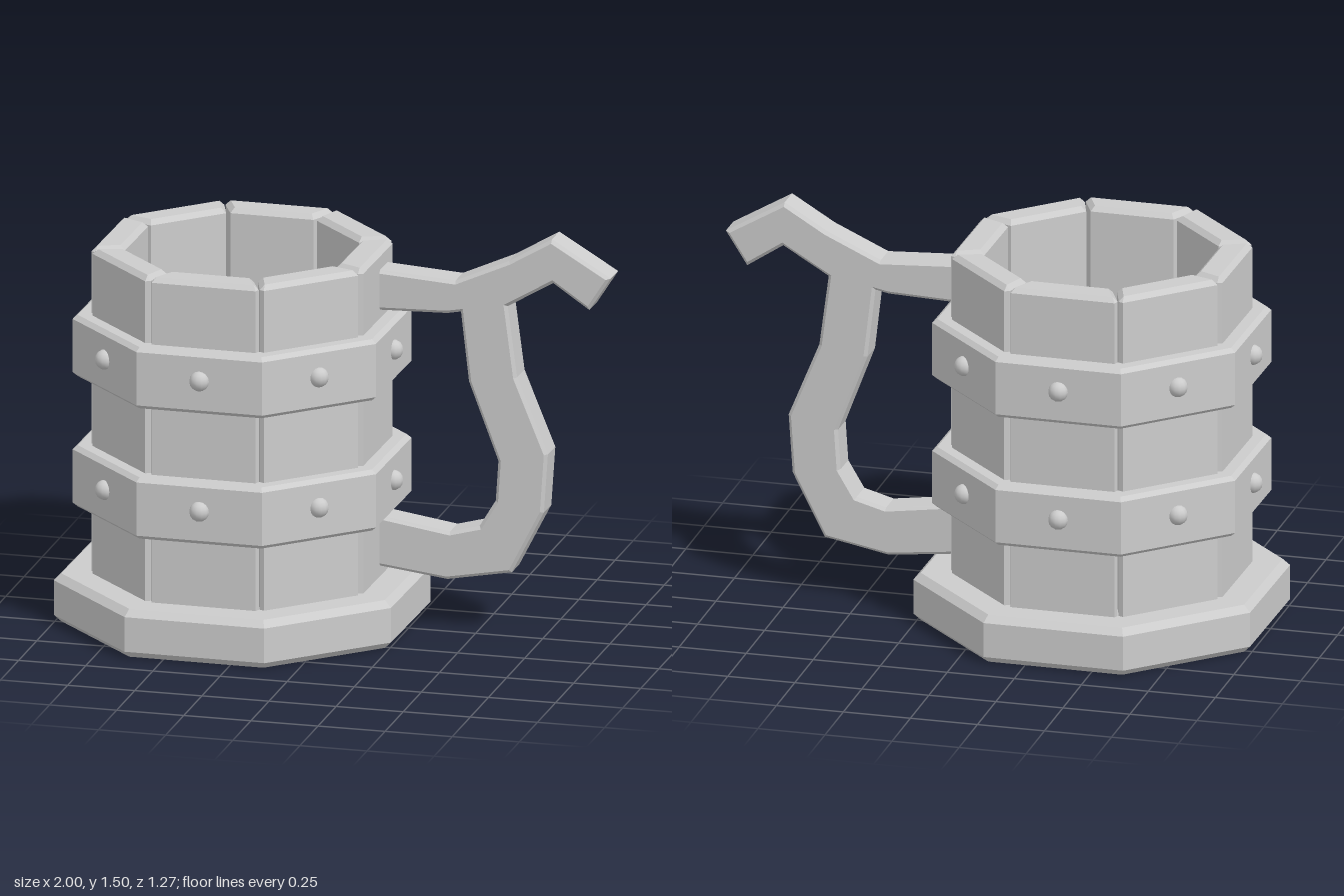
import * as THREE from 'three';

const flat = new THREE.MeshStandardMaterial({ color: 0xcccccc, flatShading: true });
const smooth = new THREE.MeshStandardMaterial({ color: 0xcccccc });
const SIDES = 8;
const STEP = Math.PI * 2 / SIDES;

// Octagonal solid from a profile of [apothem, y] points, flat sides facing the axes
function octagon(name, profile) {
  const pts = profile.map(([a, y]) => new THREE.Vector2(a / Math.cos(STEP / 2), y));
  const mesh = new THREE.Mesh(new THREE.LatheGeometry(pts, SIDES, STEP / 2), flat);
  mesh.name = name;
  return mesh;
}

// Extruded outline with a chamfer that stays inside the outline
function chamferedExtrude(points, depth, chamfer) {
  const shape = new THREE.Shape(points.map(([x, y]) => new THREE.Vector2(x, y)));
  const geo = new THREE.ExtrudeGeometry(shape, {
    depth: depth - 2 * chamfer, bevelEnabled: true, bevelSegments: 1,
    bevelSize: chamfer, bevelThickness: chamfer, bevelOffset: -chamfer,
  });
  return geo.translate(0, 0, chamfer);
}

export function createModel() {
  const model = new THREE.Group();
  model.name = 'tankard';
  const mug = new THREE.Group();
  mug.name = 'mug';
  mug.position.x = -0.37;
  mug.rotation.y = -0.012;
  model.add(mug);

  // Foot, which also closes the bottom of the cup
  mug.add(octagon('base', [[0, 0], [0.605, 0], [0.63, 0.025], [0.63, 0.155], [0.605, 0.18], [0, 0.18]]));

  // Eight wall staves with chamfered edges
  const staveGeo = chamferedExtrude([
    [-0.155, -0.395], [-0.201, -0.49], [-0.194, -0.508],
    [0.194, -0.508], [0.201, -0.49], [0.155, -0.395],
  ], 1.25, 0.018);
  staveGeo.rotateX(-Math.PI / 2).translate(0, 0.15, 0);
  const staves = new THREE.Group();
  staves.name = 'staves';
  for (let i = 0; i < SIDES; i++) {
    const stave = new THREE.Mesh(staveGeo, flat);
    stave.name = 'stave';
    stave.rotation.y = i * STEP;
    staves.add(stave);
  }
  mug.add(staves);

  // Two hoops with a rivet on every side
  const rivetGeo = new THREE.SphereGeometry(0.037, 12, 8);
  for (const [name, y] of [['lowerHoop', 0.43], ['upperHoop', 0.92]]) {
    const hoop = new THREE.Group();
    hoop.name = name;
    hoop.position.y = y;
    hoop.add(octagon('band', [
      [0.49, 0], [0.55, 0], [0.567, 0.015], [0.567, 0.215],
      [0.55, 0.23], [0.49, 0.23], [0.49, 0],
    ]));
    for (let i = 0; i < SIDES; i++) {
      const rivet = new THREE.Mesh(rivetGeo, smooth);
      rivet.name = 'rivet';
      rivet.position.set(Math.sin(i * STEP) * 0.565, 0.125, Math.cos(i * STEP) * 0.565);
      hoop.add(rivet);
    }
    mug.add(hoop);
  }

  // Angular handle with a thumb hook at the top
  const outline = [
    [0.09, 0.225], [0.39, 0.19], [0.63, 0.235], [0.75, 0.47], [0.765, 0.69],
    [0.65, 0.97], [0.615, 1.235], [0.785, 1.335], [0.92, 1.245], [1.0, 1.37],
    [0.78, 1.5], [0.62, 1.405], [0.42, 1.315], [0.09, 1.335],
    [0.09, 1.18], [0.39, 1.19], [0.44, 1.2], [0.47, 0.94], [0.58, 0.65],
    [0.57, 0.5], [0.51, 0.4], [0.4, 0.37], [0.09, 0.415],
  ].map(([x, y]) => [x + 0.37, y]);
  const handle = new THREE.Mesh(chamferedExtrude(outline, 0.122, 0.012), flat);
  handle.name = 'handle';
  handle.position.z = -0.139;
  mug.add(handle);

  return model;
}
